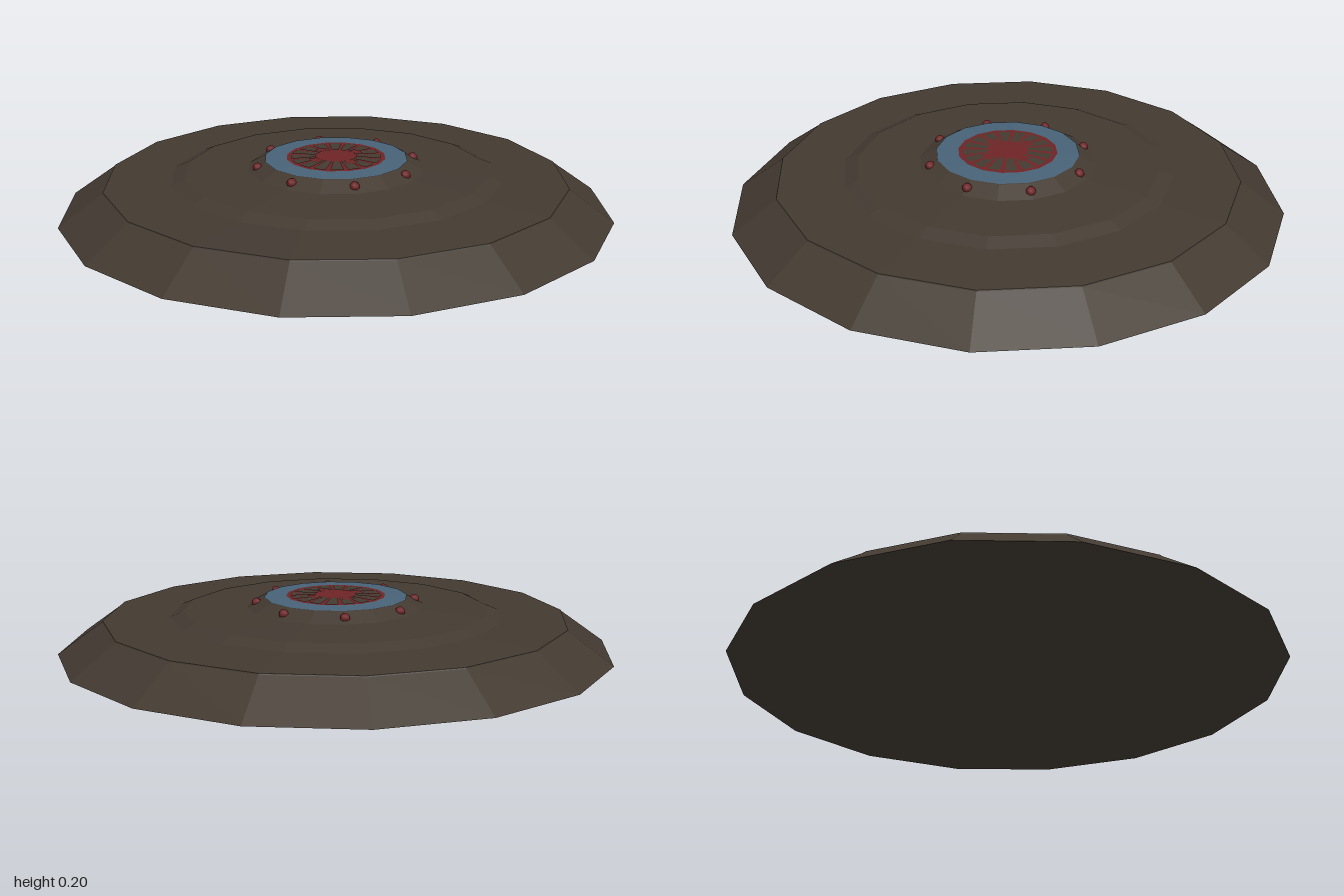
import * as THREE from 'three';

const material = (name, color) => {
  const m = new THREE.MeshStandardMaterial({ color });
  m.name = name;
  return m;
};

export function createModel() {
  const model = new THREE.Group();
  const brown = material('dark brown metal', 0x433a31);
  const blue = material('slate blue', 0x486277);
  const red = material('dark red', 0x6e2426);

  // Faceted solid of revolution; the profile runs from the underside outwards and up
  const lathe = (name, profile, mat, segments = 16, start = 0, length = Math.PI * 2, parent = model) => {
    const points = profile.map(([r, y]) => new THREE.Vector2(r, y));
    const geometry = new THREE.LatheGeometry(points, segments, start, length).toNonIndexed();
    geometry.computeVertexNormals();
    const mesh = new THREE.Mesh(geometry, mat);
    mesh.name = name;
    parent.add(mesh);
    return mesh;
  };

  // Stepped body
  lathe('base', [[0, 0], [1, 0], [0.84, 0.115]], brown);
  lathe('lowerDeck', [[0.84, 0.115], [0.838, 0.119], [0.6, 0.127]], brown);
  lathe('middleTier', [[0.6, 0.127], [0.55, 0.148], [0.32, 0.157]], brown);
  lathe('topTier', [[0.32, 0.157], [0.26, 0.19], [0, 0.2]], brown);

  // Painted bands lie just above the shallow cone of the top tier
  const capY = (r) => 0.2 - (r / 0.26) * 0.01 + 0.002;
  const band = (name, outer, inner, mat, ...rest) =>
    lathe(name, [[outer, capY(outer)], [inner, capY(inner)]], mat, ...rest);
  band('blueRing', 0.26, 0.18, blue);
  band('redRing', 0.18, 0.164, red);
  band('redHub', 0.075, 0, red);

  // Rays between hub and red ring, with a broader cross
  const rays = new THREE.Group();
  rays.name = 'redRays';
  model.add(rays);
  for (let i = 0; i < 16; i++) {
    const a = (i / 16) * Math.PI * 2;
    band('ray', 0.164, 0.075, red, 1, a - 0.06, 0.12, rays);
    if (i % 4 === 0) band('crossArm', 0.105, 0.075, red, 2, a - 0.25, 0.5, rays);
  }

  // Eight small lamps around the slope of the top tier
  const lampGeometry = new THREE.SphereGeometry(0.018, 8, 6);
  for (let i = 0; i < 8; i++) {
    const a = ((i + 0.5) / 8) * Math.PI * 2;
    const lamp = new THREE.Mesh(lampGeometry, red);
    lamp.name = 'lamp';
    lamp.position.set(0.288 * Math.sin(a), 0.173, 0.288 * Math.cos(a));
    model.add(lamp);
  }
  return model;
}
